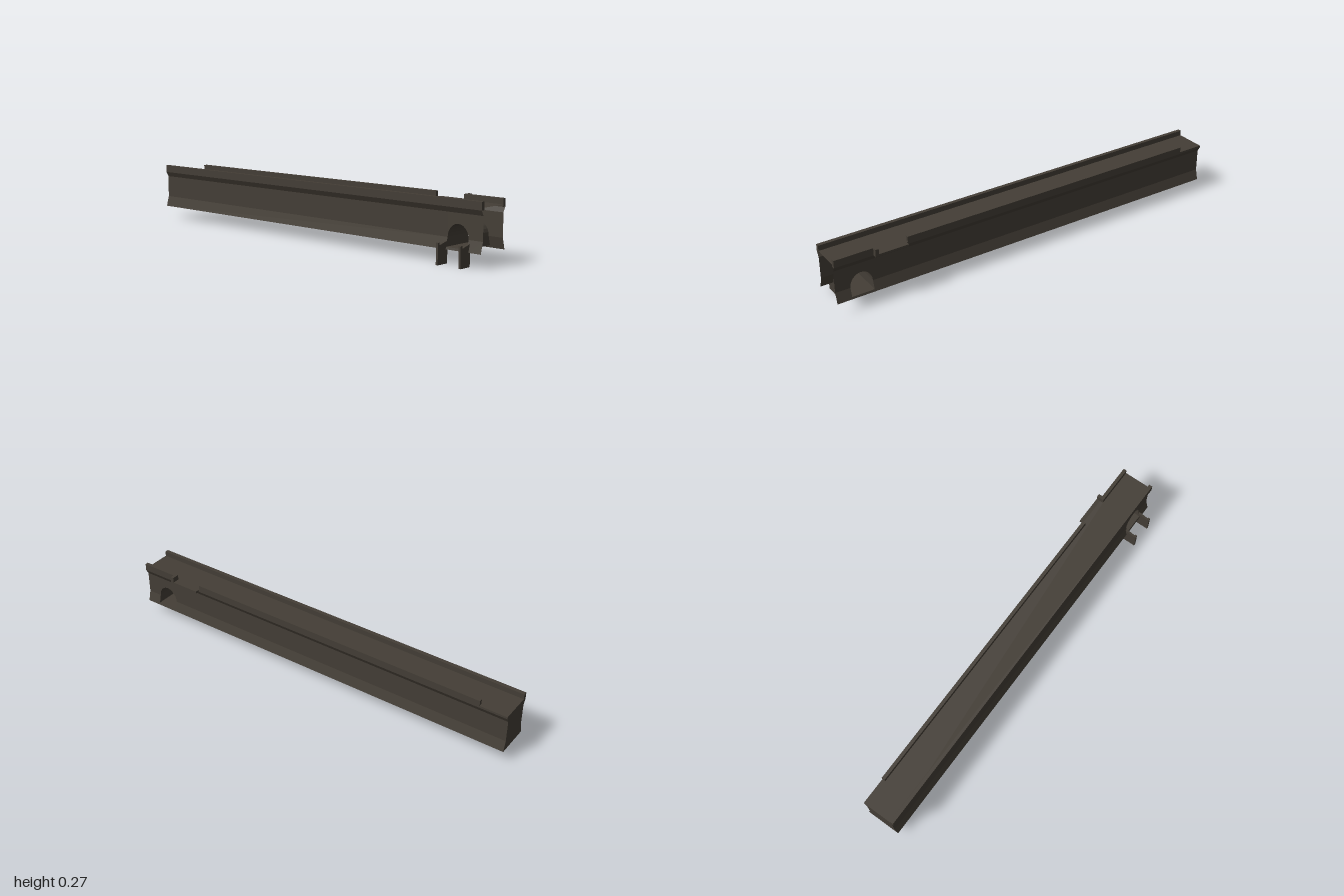
import * as THREE from 'three';

const stone = new THREE.MeshStandardMaterial({ color: 0x443e36, side: THREE.DoubleSide });
stone.name = 'dark stone';

const CX = 0.016;                    // wall centre line
const BASE = 0.06, FLARE = 0.11, CORNICE = 0.215, LIP = 0.238, DECK = 0.248, RAIL = 0.273;
const ARCH_Z = 0.877, ARCH_R = 0.053, ARCH_FLOOR = 0.07, ARCH_TOP = 0.17;

// half width of the battered wall at height y
const half = (y) => 0.069 + Math.max(0, FLARE - y) * 0.27;

// flat-faced strip between two rows of [x, y, z] points
function strip(a, b) {
  const pos = [];
  for (let i = 0; i < a.length - 1; i++) {
    pos.push(...a[i], ...a[i + 1], ...b[i], ...b[i], ...a[i + 1], ...b[i + 1]);
  }
  const g = new THREE.BufferGeometry();
  g.setAttribute('position', new THREE.Float32BufferAttribute(pos, 3));
  g.computeVertexNormals();
  return g;
}

// sweep an [x, y] profile along z
const sweep = (profile, z0, z1) =>
  strip(profile.map(([x, y]) => [x, y, z0]), profile.map(([x, y]) => [x, y, z1]));

const shapeOf = (pts) => new THREE.Shape(pts.map(([x, y]) => new THREE.Vector2(x, y)));

export function createModel() {
  const model = new THREE.Group();
  const add = (geometry, name, parent = model) => {
    const m = new THREE.Mesh(geometry, stone);
    m.name = name;
    parent.add(m);
    return m;
  };
  const box = (name, x0, x1, y0, y1, z0, z1) => {
    const m = add(new THREE.BoxGeometry(x1 - x0, y1 - y0, z1 - z0), name);
    m.position.set((x0 + x1) / 2, (y0 + y1) / 2, (z0 + z1) / 2);
  };

  // cornice and walkway deck, full length
  const top = [[0.085, CORNICE], [0.098, LIP], [0.098, DECK],
    [-0.066, DECK], [-0.066, LIP], [-0.053, CORNICE]];
  add(sweep(top, -1, 1), 'deckAndCornice');

  // closed far end
  const feet = [[-0.053, FLARE], [CX - half(BASE), BASE], [CX + half(BASE), BASE], [0.085, FLARE]];
  const cap = add(new THREE.ShapeGeometry(shapeOf([...top, ...feet])), 'endWall');
  cap.position.z = -1;
  cap.geometry.scale(-1, 1, 1);
  cap.rotation.y = Math.PI;

  // arch curve as [y, z], from the far springing to the near one
  const arch = [];
  for (let i = 0; i <= 12; i++) {
    const t = Math.PI * (1 - i / 12);
    arch.push([FLARE + (ARCH_TOP - FLARE) * Math.sin(t), ARCH_Z + ARCH_R * Math.cos(t)]);
  }
  const zA = ARCH_Z - ARCH_R, zB = ARCH_Z + ARCH_R;

  // two side walls pierced by the arch
  for (const s of [1, -1]) {
    const wall = new THREE.Group();
    wall.name = s > 0 ? 'leftWall' : 'rightWall';
    model.add(wall);
    const at = (y, z) => [CX + s * half(y), y, z];
    const order = (a, b) => (s > 0 ? strip(a, b) : strip(b, a));
    const panel = (ys, z0, z1, name) =>
      add(order(ys.map((y) => at(y, z0)), ys.map((y) => at(y, z1))), name, wall);
    panel([BASE, FLARE, CORNICE], -1, zA, 'longWallPanel');
    panel([BASE, FLARE, CORNICE], zB, 1, 'endWallPanel');
    panel([BASE, ARCH_FLOOR], zA, zB, 'archSill');
    add(order(arch.map(([, z]) => at(CORNICE, z)), arch.map(([y, z]) => at(y, z))), 'archSpandrel', wall);
  }

  // barrel vault and floor of the passage
  const ring = [[ARCH_FLOOR, zA], ...arch, [ARCH_FLOOR, zB], [ARCH_FLOOR, zA]];
  const edge = (s) => ring.map(([y, z]) => [CX + s * half(y), y, z]);
  add(strip(edge(-1), edge(1)), 'archPassage');

  // parapets
  box('rightParapet', -0.066, -0.048, LIP, RAIL, -1, 1);
  box('leftParapetNear', 0.082, 0.098, LIP, RAIL, 0.815, 1);
  box('leftParapetLong', 0.082, 0.098, LIP, RAIL, -0.87, 0.655);

  // landing with its end post
  box('landing', 0.082, 0.117, LIP, DECK, 0.66, 0.815);
  box('landingPost', 0.082, 0.117, LIP, RAIL, 0.802, 0.818);

  // paired buttress plates beside the arch
  const buttress = shapeOf([[-0.118, 0], [-0.055, 0], [-0.055, 0.095],
    [-0.107, 0.082], [-0.107, 0.093], [-0.118, 0.093]]);
  for (const z of [zA - 0.004, zB + 0.004]) {
    const g = new THREE.ExtrudeGeometry(buttress, { depth: 0.01, bevelEnabled: false });
    add(g, 'buttressPlate').position.z = z - 0.005;
  }
  return model;
}
